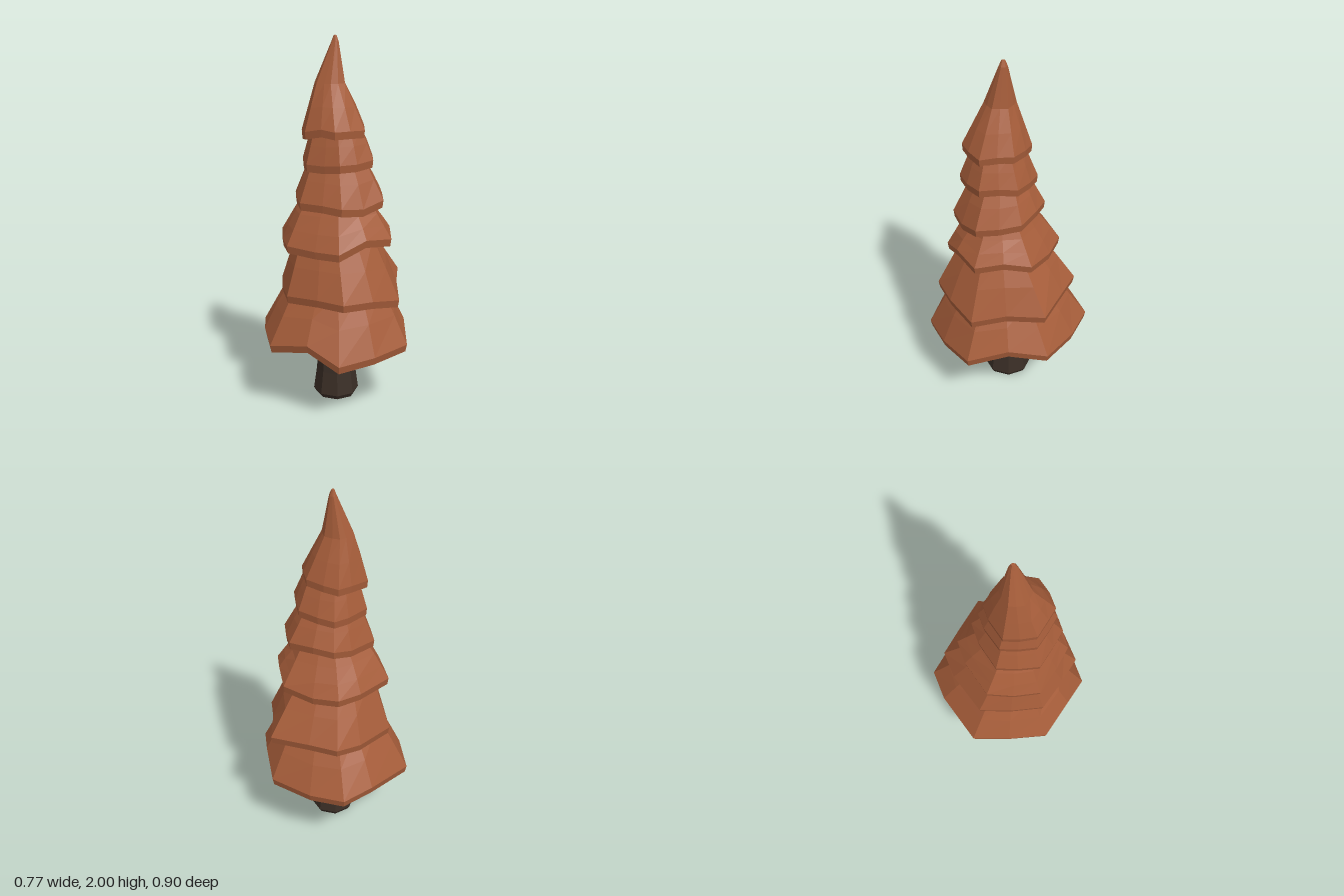
import * as THREE from 'three';

// Rounded hexagon outline (x, z) in -1..1, starting at the front and turning towards +x
const HEX = [[0, 1], [0.5, 0.82], [0.98, 0.52], [1, 0.02], [0.97, -0.46], [0.48, -0.8],
  [0.03, -1], [-0.4, -0.84], [-1, -0.43], [-1, 0.04], [-0.92, 0.52], [-0.42, 0.8]];
const N = HEX.length;

const foliage = new THREE.MeshStandardMaterial({ color: 0xa65d3a, flatShading: true });
const bark = new THREE.MeshStandardMaterial({ color: 0x3a2e26, flatShading: true });

// Fits the outline into a box [x0, x1, z0, z1]; heights may be one number or one per corner
function ring([x0, x1, z0, z1], heights, scale = 1, bumps = {}) {
  return HEX.map(([x, z], i) => {
    const s = scale * (bumps[i] ?? 1);
    const y = Array.isArray(heights) ? heights[i] : heights;
    return [(x0 + x1) / 2 + x * s * (x1 - x0) / 2, y, (z0 + z1) / 2 + z * s * (z1 - z0) / 2];
  });
}

const raise = (heights, d) => heights.map((y) => y + d);

// Joins successive rings with quads and closes both ends
function loft(rings) {
  const pos = [];
  const middle = (r) => [0, 1, 2].map((k) => r.reduce((s, p) => s + p[k], 0) / N);
  const first = rings[0], last = rings[rings.length - 1];
  const c0 = middle(first), c1 = middle(last);
  for (let i = 0; i < N; i++) {
    const n = (i + 1) % N;
    pos.push(...c0, ...first[n], ...first[i], ...c1, ...last[i], ...last[n]);
    for (let j = 0; j + 1 < rings.length; j++) {
      const a = rings[j], b = rings[j + 1];
      pos.push(...a[i], ...a[n], ...b[n], ...a[i], ...b[n], ...b[i]);
    }
  }
  const geo = new THREE.BufferGeometry();
  geo.setAttribute('position', new THREE.Float32BufferAttribute(pos, 3));
  geo.computeVertexNormals();
  return geo;
}

// Skirt: hollow underside, thin lip, sloping outside; each upper entry is [y, box]
function tier({ rim, heights, upper, bumps, hollow = 0.08 }) {
  const [y1, box1] = upper[0];
  const top = Math.max(...heights) + hollow;
  const rimRing = ring(rim, raise(heights, 0.04), 1, bumps);
  const shoulder = ring(box1, y1);
  // Middle ring bulges slightly, alternating around the skirt
  const belly = rimRing.map((p, i) => p.map((v, k) => {
    const t = k === 1 ? 0.5 : (i % 2 ? 0.45 : 0.5);
    return v + (shoulder[i][k] - v) * t;
  }));
  return loft([
    ring(box1, top, 0.85),
    ring(rim, raise(heights, 0.01), 0.93, bumps),
    ring(rim, heights, 0.98, bumps),
    rimRing,
    belly,
    ...upper.map(([y, box]) => ring(box, y)),
  ]);
}

const TIERS = [
  { rim: [-0.39, 0.385, -0.45, 0.45], hollow: 0.2,
    heights: [0.3, 0.315, 0.33, 0.4, 0.35, 0.34, 0.35, 0.37, 0.34, 0.36, 0.34, 0.385],
    upper: [[0.68, [-0.24, 0.25, -0.25, 0.28]]] },
  { rim: [-0.29, 0.34, -0.37, 0.39], bumps: { 4: 1.13 },
    heights: [0.615, 0.61, 0.575, 0.62, 0.63, 0.64, 0.64, 0.62, 0.6, 0.61, 0.61, 0.62],
    upper: [[0.95, [-0.2, 0.2, -0.18, 0.24]]] },
  { rim: [-0.285, 0.295, -0.28, 0.33],
    heights: [0.87, 0.93, 0.91, 0.94, 0.91, 0.89, 0.9, 0.9, 0.9, 0.88, 0.88, 0.87],
    upper: [[1.08, [-0.21, 0.22, -0.18, 0.24]], [1.17, [-0.15, 0.17, -0.12, 0.19]]] },
  { rim: [-0.21, 0.25, -0.195, 0.29],
    heights: [1.1, 1.09, 1.12, 1.13, 1.15, 1.16, 1.15, 1.13, 1.12, 1.12, 1.11, 1.11],
    upper: [[1.37, [-0.13, 0.15, -0.1, 0.18]]] },
  { rim: [-0.17, 0.195, -0.155, 0.25],
    heights: [1.32, 1.32, 1.33, 1.34, 1.33, 1.32, 1.31, 1.31, 1.31, 1.31, 1.31, 1.31],
    upper: [[1.54, [-0.12, 0.13, -0.08, 0.18]]] },
  { rim: [-0.175, 0.15, -0.125, 0.235],
    heights: [1.49, 1.49, 1.485, 1.5, 1.5, 1.49, 1.48, 1.48, 1.465, 1.47, 1.48, 1.5],
    upper: [[1.76, [-0.105, 0.05, -0.045, 0.12]], [1.97, [-0.018, 0.018, 0, 0.045]],
      [2, [-0.007, 0.007, 0.012, 0.032]]] },
];

export function createModel() {
  const model = new THREE.Group();
  model.name = 'coniferTree';

  // Trunk with a flared foot
  const profile = [[0, 0.01], [0.11, 0], [0.125, 0.025], [0.108, 0.15], [0.093, 0.35], [0.08, 0.6], [0, 0.6]];
  const trunk = new THREE.Mesh(
    new THREE.LatheGeometry(profile.map(([r, y]) => new THREE.Vector2(r, y)), 8), bark);
  trunk.name = 'trunk';
  trunk.scale.z = 1.06;
  trunk.position.x = 0.007;
  model.add(trunk);

  // Foliage skirts from bottom to tip
  TIERS.forEach((spec, i) => {
    const mesh = new THREE.Mesh(tier(spec), foliage);
    mesh.name = i === TIERS.length - 1 ? 'treeTop' : `foliageTier${i + 1}`;
    model.add(mesh);
  });
  return model;
}
